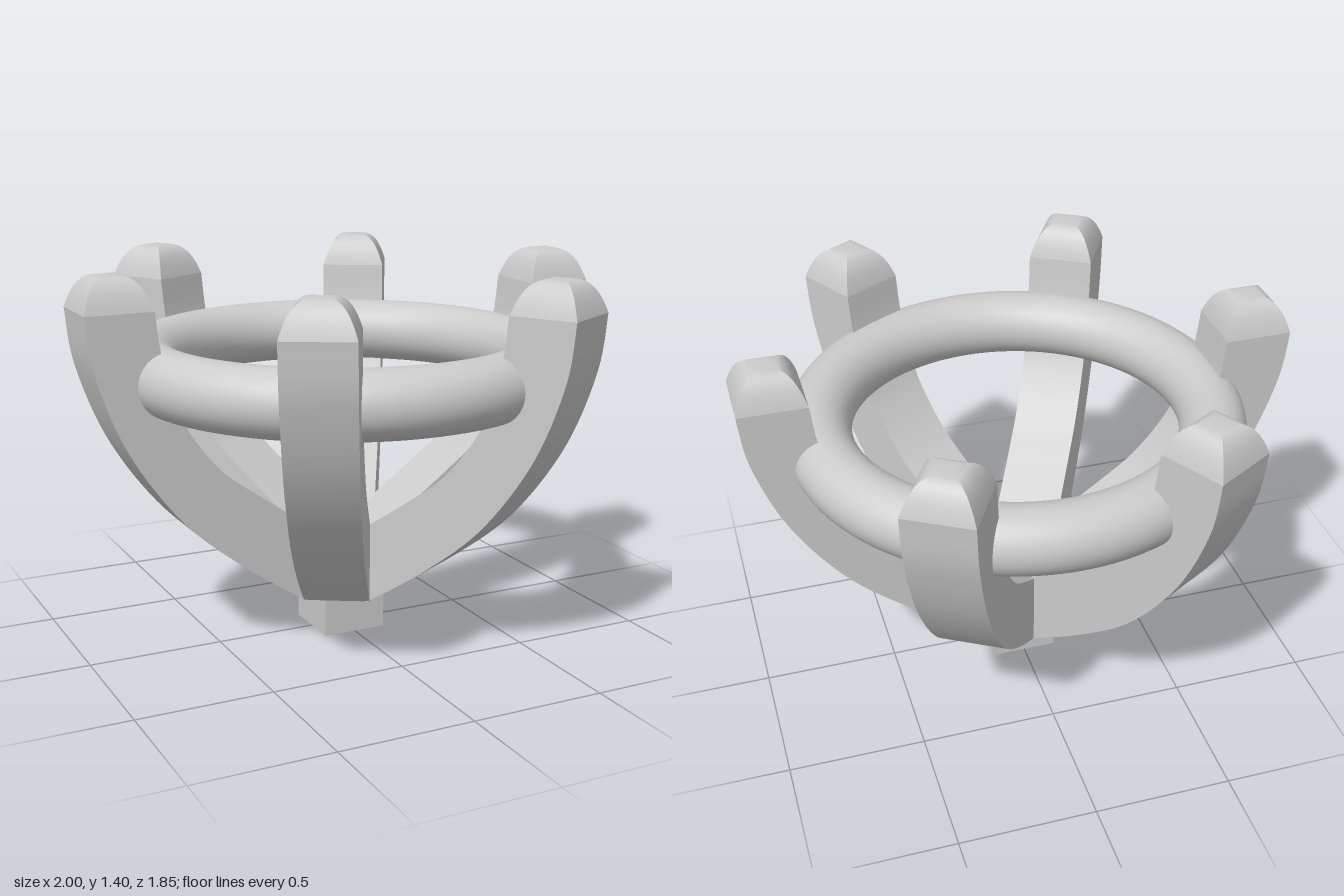
import * as THREE from 'three';
import { toCreasedNormals } from 'three/addons/utils/BufferGeometryUtils.js';

const material = new THREE.MeshStandardMaterial({ color: 0xcccccc });
const WIDTH = 0.245;
const CAP_Y = 1.28;
const CAP_H = 0.12;

function addMesh(parent, name, geometry) {
  const mesh = new THREE.Mesh(geometry, material);
  mesh.name = name;
  parent.add(mesh);
  return mesh;
}

const points = (list) => list.map(([x, y]) => new THREE.Vector2(x, y));

// Curved claw arm, drawn in the radial plane and extruded across its width
function armGeometry() {
  const shape = new THREE.Shape();
  shape.moveTo(0, 0.15);
  shape.lineTo(0.2, 0.155);
  shape.splineThru(points([[0.44, 0.32], [0.67, 0.52], [0.86, 0.79], [0.97, 1.07], [1, CAP_Y]]));
  shape.lineTo(1 - WIDTH, CAP_Y);
  shape.splineThru(points([[0.73, 1.1], [0.66, 0.88], [0.53, 0.7], [0.39, 0.585], [0.208, 0.455], [0, 0.3]]));
  const geometry = new THREE.ExtrudeGeometry(shape, { depth: WIDTH, bevelEnabled: false, curveSegments: 6 });
  geometry.translate(0, 0, -WIDTH / 2);
  return toCreasedNormals(geometry, 0.5);
}

// Four-sided rounded tip
function tipGeometry() {
  const profile = [];
  for (let i = 0; i <= 16; i++) {
    const s = Math.cos((i / 16) * Math.PI / 2);
    const y = CAP_Y + CAP_H * (1 - Math.pow(s, 3.5));
    profile.push(new THREE.Vector2(Math.max(0, s) * WIDTH * Math.SQRT1_2, y));
  }
  const geometry = new THREE.LatheGeometry(profile, 4, Math.PI / 4);
  geometry.translate(1 - WIDTH / 2, 0, 0);
  return toCreasedNormals(geometry.toNonIndexed(), 0.5);
}

export function createModel() {
  const model = new THREE.Group();
  model.name = 'prongSetting';

  // Square stem under the claws
  addMesh(model, 'stem', new THREE.BoxGeometry(WIDTH, 0.2, WIDTH)).position.y = 0.1;

  // Six claws around the axis
  const arm = armGeometry();
  const tip = tipGeometry();
  for (let i = 0; i < 6; i++) {
    const prong = new THREE.Group();
    prong.name = 'prong' + (i + 1);
    addMesh(prong, 'prongArm', arm);
    addMesh(prong, 'prongTip', tip);
    prong.rotation.y = (i * Math.PI) / 3;
    model.add(prong);
  }

  // Ring threaded through the claws
  const ring = addMesh(model, 'ring', new THREE.TorusGeometry(0.712, 0.121, 32, 96));
  ring.rotation.x = Math.PI / 2;
  ring.position.y = 1.02;

  return model;
}
